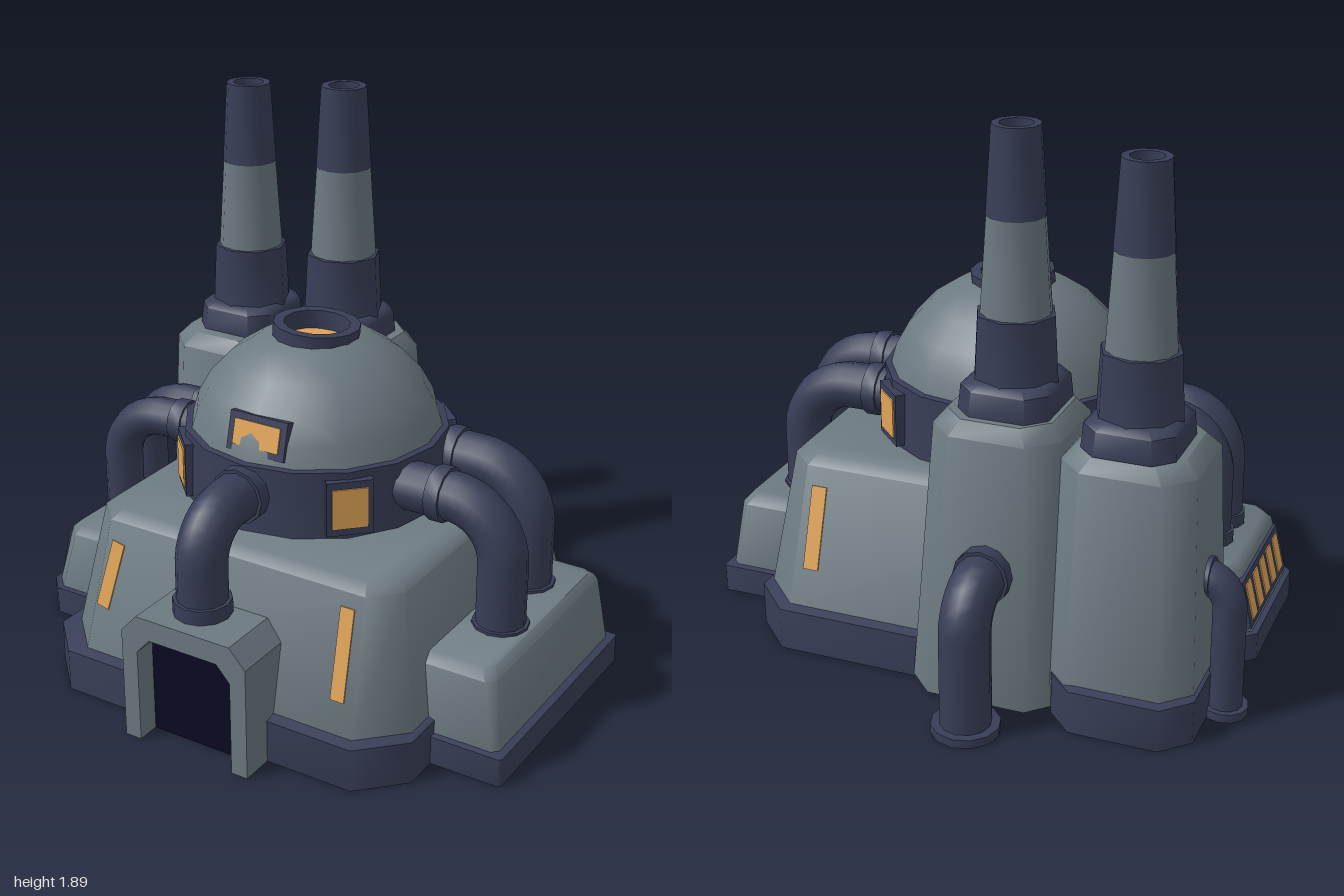
import * as THREE from 'three';
import { toCreasedNormals } from 'three/addons/utils/BufferGeometryUtils.js';

const paint = (name, color) => {
  const m = new THREE.MeshStandardMaterial({ color, side: THREE.DoubleSide });
  m.name = name;
  return m;
};
const V = (x, y, z) => new THREE.Vector3(x, y, z);

// Hollow block with soft cut corners; each layer is [y, x0, x1, z0, z1, cut]
function loft(layers, cap = true) {
  const rings = layers.map(([y, x0, x1, z0, z1, c]) => [
    V(x1, y, z0 + c), V(x1, y, z1 - c), V(x1 - c, y, z1), V(x0 + c, y, z1),
    V(x0, y, z1 - c), V(x0, y, z0 + c), V(x0 + c, y, z0), V(x1 - c, y, z0)]);
  const pts = [];
  for (let k = 0; k + 1 < rings.length; k++) {
    const a = rings[k], b = rings[k + 1];
    for (let i = 0; i < 8; i++) {
      const j = (i + 1) % 8;
      pts.push(a[i], b[i], a[j], a[j], b[i], b[j]);
    }
  }
  if (cap) {
    const t = rings[rings.length - 1];
    for (let i = 1; i < 7; i++) pts.push(t[0], t[i + 1], t[i]);
  }
  return toCreasedNormals(new THREE.BufferGeometry().setFromPoints(pts), 0.8);
}

const lathe = (profile, sides) => toCreasedNormals(
  new THREE.LatheGeometry(profile.map(([r, y]) => new THREE.Vector2(r, y)), sides), 0.8);

export function createModel() {
  const model = new THREE.Group();
  model.name = 'powerStation';
  const grey = paint('greyPlating', 0x6b7980);
  const navy = paint('navySteel', 0x383e57);
  const amber = paint('amberGlow', 0xe0a458);
  const black = paint('doorDark', 0x0b0922);

  const add = (name, geo, mat, x = 0, y = 0, z = 0, parent = model) => {
    const m = new THREE.Mesh(geo, mat);
    m.name = name;
    m.position.set(x, y, z);
    parent.add(m);
    return m;
  };

  // Thin plate turned to face yaw, leaning back by tilt
  const plate = (name, mat, w, h, d, [x, y, z], yaw = 0, tilt = 0, roll = 0) => {
    const m = add(name, new THREE.BoxGeometry(w, h, d), mat, x, y, z);
    m.rotation.set(-tilt, yaw, roll, 'YXZ');
  };

  const flange = (parent, at, dir, r, h) => {
    const m = add('flange', toCreasedNormals(new THREE.CylinderGeometry(r, r, h, 12), 0.6), navy, at.x, at.y, at.z, parent);
    m.quaternion.setFromUnitVectors(V(0, 1, 0), dir);
  };

  // Elbow pipe: straight out, rounded corner, straight down
  const pipe = (name, from, corner, to, r, bend, foot, neck) => {
    const g = new THREE.Group();
    g.name = name;
    model.add(g);
    const out = corner.clone().sub(from).normalize();
    const down = to.clone().sub(corner).normalize();
    const p = corner.clone().addScaledVector(out, -bend), q = corner.clone().addScaledVector(down, bend);
    const mid = 0.55 * bend;
    const path = new THREE.CurvePath();
    path.add(new THREE.LineCurve3(from, p));
    path.add(new THREE.CubicBezierCurve3(p, p.clone().addScaledVector(out, mid), q.clone().addScaledVector(down, -mid), q));
    path.add(new THREE.LineCurve3(q, to));
    add('pipeBody', new THREE.TubeGeometry(path, 20, r, 12), navy, 0, 0, 0, g);
    flange(g, from.clone().addScaledVector(out, neck), out, r * 1.13, 0.05);
    flange(g, to.clone().addScaledVector(down, -foot / 2), down, r * (foot === 0.03 ? 1.35 : 1.15), foot);
  };

  // Main hall
  add('hallBase', loft([[0, -0.65, 0.75, -0.61, 0.845, 0.14], [0.15, -0.65, 0.75, -0.61, 0.845, 0.14],
    [0.165, -0.59, 0.7, -0.55, 0.78, 0.13]], false), navy);
  add('hallBody', loft([[0.14, -0.6, 0.73, -0.58, 0.81, 0.14], [0.62, -0.495, 0.67, -0.42, 0.71, 0.09],
    [0.65, -0.46, 0.64, -0.38, 0.67, 0.08]]), grey);
  plate('frontLeftSlit', amber, 0.05, 0.31, 0.009, [0.525, 0.42, 0.752], 0, 0.205);
  plate('frontRightSlit', amber, 0.05, 0.24, 0.009, [-0.385, 0.435, 0.749], 0, 0.205, -0.18);
  plate('backSlit', amber, 0.055, 0.29, 0.009, [0.525, 0.42, -0.488], Math.PI, 0.32);
  plate('sideSlit', amber, 0.08, 0.26, 0.009, [-0.54, 0.42, 0.55], -Math.PI / 2, 0.215);

  // Side annexes
  add('leftAnnexBase', loft([[0, 0.6, 1, -0.32, 0.58, 0.01], [0.1, 0.6, 1, -0.32, 0.58, 0.01],
    [0.11, 0.6, 0.94, -0.27, 0.53, 0.01]], false), navy);
  add('leftAnnex', loft([[0.1, 0.6, 0.975, -0.3, 0.56, 0.02], [0.34, 0.6, 0.945, -0.275, 0.545, 0.03],
    [0.37, 0.62, 0.92, -0.24, 0.51, 0.03]]), grey);
  add('rightAnnexBase', loft([[0, -0.94, -0.5, -0.14, 0.46, 0.06], [0.1, -0.94, -0.5, -0.14, 0.46, 0.06],
    [0.105, -0.88, -0.5, -0.08, 0.4, 0.05]], false), navy);
  add('rightAnnex', loft([[0.1, -0.92, -0.5, -0.12, 0.44, 0.05], [0.32, -0.865, -0.5, -0.1, 0.42, 0.05],
    [0.345, -0.84, -0.5, -0.08, 0.39, 0.04]]), grey);
  plate('grillePanel', navy, 0.48, 0.17, 0.02, [-0.895, 0.21, 0.13], -Math.PI / 2, 0.24);
  for (let i = 0; i < 5; i++)
    plate('grilleSlot', amber, 0.06, 0.13, 0.008, [-0.905, 0.212, -0.05 + i * 0.09], -Math.PI / 2, 0.24);

  // Drum and dome
  const cx = 0.04, cz = 0.13;
  add('drum', lathe([[0.46, 0.64], [0.452, 0.88], [0.4, 0.885]], 16), navy, cx, 0, cz);
  add('dome', lathe([[0.43, 0.88], [0.41, 0.95], [0.365, 1.03], [0.29, 1.11], [0.2, 1.17], [0.12, 1.195]], 16), grey, cx, 0, cz);

  // Skylight sunk inside its ring
  const skylight = new THREE.Group();
  skylight.name = 'skylight';
  skylight.position.set(cx, 1.2, cz);
  skylight.rotation.set(-0.03, 0, -0.05);
  model.add(skylight);
  add('skylightRing', lathe([[0.148, -0.05], [0.148, 0.025], [0.112, 0.025], [0.112, -0.05]], 14), navy, 0, 0, 0, skylight);
  add('skylightGlass', new THREE.CircleGeometry(0.114, 14).rotateX(-Math.PI / 2), amber, 0, -0.04, 0, skylight);

  // Drum and dome windows
  for (const yaw of [Math.PI / 4, 3 * Math.PI / 4, -Math.PI / 4]) {
    const at = r => [cx + r * Math.sin(yaw), 0.76, cz - 0.005 + r * Math.cos(yaw)];
    plate('drumWindowFrame', navy, 0.155, 0.19, 0.05, at(0.445), yaw);
    plate('drumWindow', amber, 0.12, 0.14, 0.008, at(0.471), yaw);
  }
  plate('domeWindowFrame', navy, 0.22, 0.13, 0.1, [0.06, 0.953, 0.475], 0, 0.25);
  plate('domeWindow', amber, 0.175, 0.085, 0.008, [0.06, 0.966, 0.525], 0, 0.25);

  // Towers with chimneys
  add('outerTowerBase', loft([[0, -0.88, -0.4, -0.74, -0.16, 0.09], [0.15, -0.88, -0.4, -0.74, -0.16, 0.09],
    [0.16, -0.83, -0.42, -0.67, -0.2, 0.09]], false), navy);
  add('outerTower', loft([[0.1, -0.87, -0.37, -0.71, -0.16, 0.09], [0.87, -0.835, -0.39, -0.64, -0.18, 0.09],
    [0.92, -0.79, -0.43, -0.6, -0.22, 0.08]]), grey);
  add('innerTower', loft([[0.02, -0.42, 0.1, -0.715, -0.15, 0.09], [0.92, -0.39, 0.05, -0.635, -0.18, 0.09],
    [0.97, -0.35, 0.01, -0.6, -0.22, 0.08]]), grey);
  const chimney = (name, x, z, y, h1, h2, h3) => {
    const g = new THREE.Group();
    g.name = name;
    g.position.set(x, 0, z);
    model.add(g);
    add('collar', loft([[y, -0.155, 0.155, -0.175, 0.175, 0.06], [y + 0.08, -0.15, 0.15, -0.165, 0.165, 0.06],
      [y + 0.1, -0.13, 0.13, -0.14, 0.14, 0.06]]), navy, 0, 0, 0, g);
    add('sleeve', lathe([[0.145, y + 0.08], [0.133, h1], [0.1, h1 + 0.003]], 8), navy, 0, 0, 0, g);
    add('stack', lathe([[0.117, h1], [0.096, h2]], 12), grey, 0, 0, 0, g);
    add('stackTip', lathe([[0.098, h2], [0.08, h3], [0.055, h3], [0.06, h3 - 0.2], [0, h3 - 0.2]], 12), navy, 0, 0, 0, g);
  };
  chimney('outerChimney', -0.61, -0.44, 0.92, 1.23, 1.55, 1.84);
  chimney('innerChimney', -0.18, -0.4, 0.97, 1.28, 1.6, 1.89);

  // Pipes
  pipe('frontPipe', V(0.04, 0.78, 0.52), V(0.04, 0.78, 0.815), V(0.04, 0.45, 0.815), 0.085, 0.15, 0.06, 0.07);
  pipe('leftFrontPipe', V(0.43, 0.78, 0.24), V(0.815, 0.78, 0.24), V(0.815, 0.36, 0.24), 0.083, 0.19, 0.02, 0.16);
  pipe('leftBackPipe', V(0.43, 0.78, -0.06), V(0.765, 0.78, -0.06), V(0.765, 0.36, -0.06), 0.083, 0.19, 0.02, 0.05);
  pipe('rightFrontPipe', V(-0.38, 0.78, 0.21), V(-0.72, 0.78, 0.235), V(-0.72, 0.34, 0.235), 0.068, 0.18, 0.05, 0.08);
  pipe('rightBackPipe', V(-0.38, 0.78, 0.08), V(-0.72, 0.78, 0.085), V(-0.72, 0.34, 0.085), 0.068, 0.18, 0.05, 0.08);
  pipe('backPipe', V(-0.18, 0.48, -0.65), V(-0.18, 0.48, -0.84), V(-0.18, 0, -0.84), 0.085, 0.13, 0.03, 0.04);
  pipe('towerSidePipe', V(-0.8, 0.485, -0.43), V(-0.925, 0.485, -0.43), V(-0.925, 0, -0.43), 0.057, 0.1, 0.03, 0.04);

  // Entrance porch around a dark doorway
  const shape = pts => new THREE.Shape(pts.map(([x, y]) => new THREE.Vector2(x, y)));
  const arch = [[0.18, 0], [0.18, 0.33], [0.13, 0.385], [-0.13, 0.385], [-0.18, 0.33], [-0.18, 0]];
  const porch = shape([[-0.24, 0], [-0.24, 0.395], [-0.18, 0.46], [0.18, 0.46], [0.24, 0.395], [0.24, 0], ...arch]);
  add('porch', new THREE.ExtrudeGeometry(porch, { depth: 0.24, bevelEnabled: false }), grey, 0.06, 0, 0.72);
  add('doorway', new THREE.ExtrudeGeometry(shape(arch), { depth: 0.14, bevelEnabled: false }), black, 0.06, 0, 0.74);

  return model;
}
